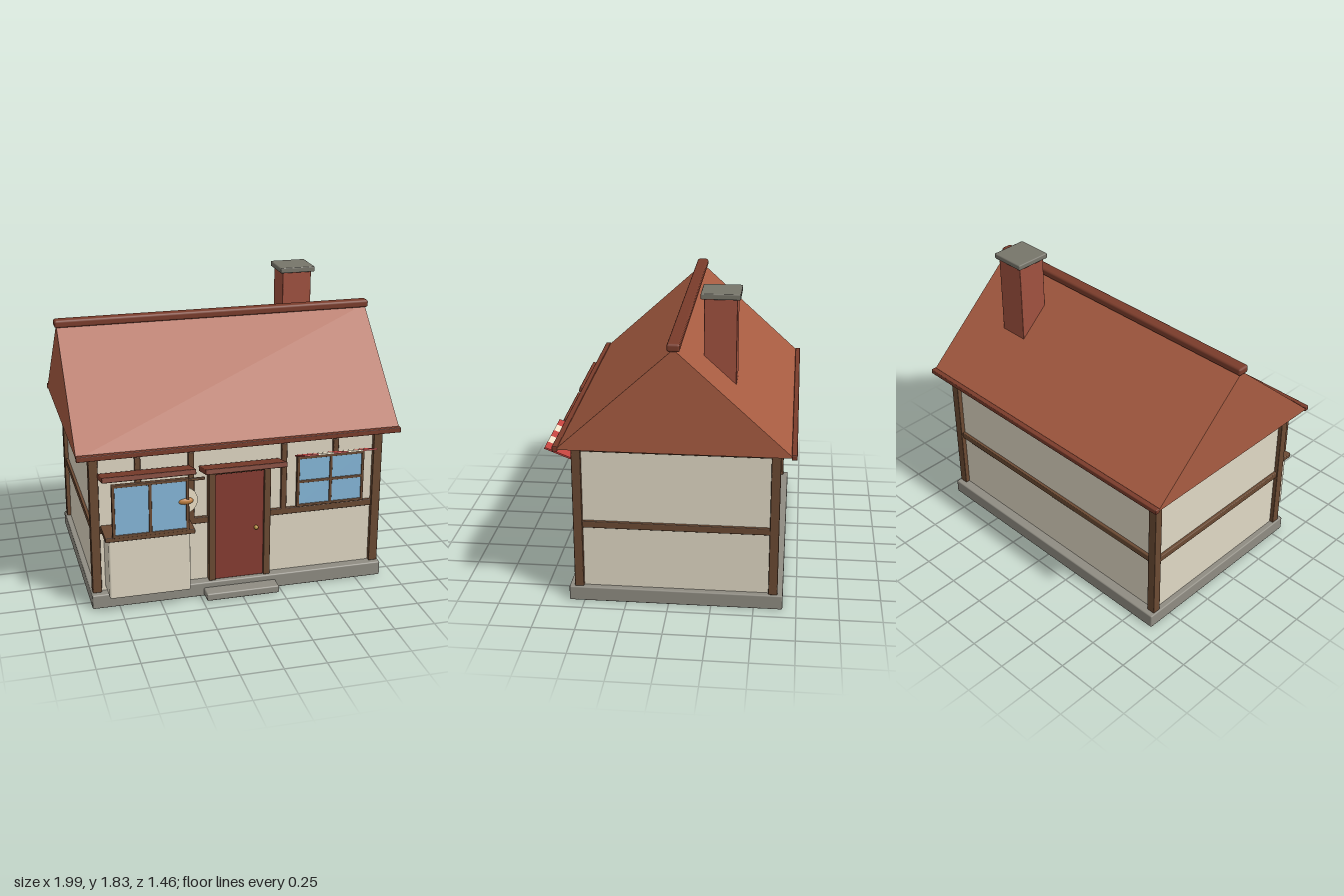
import * as THREE from 'three';
import { RoundedBoxGeometry } from 'three/addons/geometries/RoundedBoxGeometry.js';

const mat = (color) => new THREE.MeshStandardMaterial({ color });
const M = {
  stone: mat(0x8f8c82), plaster: mat(0xe0d8c4), wood: mat(0x6b4a33), roof: mat(0xa85c42),
  trim: mat(0x7a3c2b), brick: mat(0xa0513f), cap: mat(0x77756a), door: mat(0x863c32),
  glass: mat(0x86b8da), red: mat(0xc4443f), cream: mat(0xeee2c8), brass: mat(0xb08a3c), bread: mat(0xc08040),
};
const ZC = -0.04; // depth centre of the house body

export function createModel() {
  const house = new THREE.Group();
  house.name = 'cottageShop';

  const add = (name, geometry, material, parent = house) => {
    const mesh = new THREE.Mesh(geometry, material);
    mesh.name = name;
    parent.add(mesh);
    return mesh;
  };
  // Softly bevelled box given by its extents
  const box = (name, material, x0, x1, y0, y1, z0, z1, parent = house, bevel = 0.005) => {
    const s = [x1 - x0, y1 - y0, z1 - z0];
    const m = add(name, new RoundedBoxGeometry(...s, 1, Math.min(bevel, Math.min(...s) * 0.3)), material, parent);
    m.position.set((x0 + x1) / 2, (y0 + y1) / 2, (z0 + z1) / 2);
    return m;
  };
  const group = (name) => {
    const g = new THREE.Group();
    g.name = name;
    house.add(g);
    return g;
  };

  // Base and walls
  box('foundation', M.stone, -0.915, 0.915, 0, 0.09, -0.67, 0.59, house, 0.008);
  box('doorStep', M.stone, -0.23, 0.225, 0.008, 0.055, 0.5, 0.677, house, 0.008);
  box('walls', M.plaster, -0.88, 0.88, 0.08, 0.99, -0.61, 0.53);

  // Timber frame
  const frame = group('timberFrame');
  for (const x of [-0.878, 0.878]) {
    for (const z of [-0.612, 0.53])
      box('cornerPost', M.wood, x - 0.028, x + 0.028, 0.09, 0.97, z - 0.027, z + 0.027, frame);
  }
  for (const [y0, y1] of [[0.47, 0.512], [0.948, 0.99]]) {
    for (const z of [-0.61, 0.53]) box('longBeam', M.wood, -0.88, 0.88, y0, y1, z - 0.018, z + 0.018, frame);
    for (const x of [-0.88, 0.88]) box('sideBeam', M.wood, x - 0.018, x + 0.018, y0, y1, -0.61, 0.53, frame);
  }
  for (const x of [-0.615, -0.293, 0.283, 0.61])
    box('frontStud', M.wood, x - 0.018, x + 0.018, 0.5, 0.935, 0.52, 0.548, frame);

  // Roof: solid gable with eave boards and a ridge beam
  const gable = new THREE.Shape([[-0.67, 0.99], [0.67, 0.99], [0, 1.6]].map(([z, y]) => new THREE.Vector2(z, y)));
  const roofGeo = new THREE.ExtrudeGeometry(gable, { depth: 1.966, bevelEnabled: false });
  roofGeo.translate(0, 0, -0.983).rotateY(-Math.PI / 2);
  add('roof', roofGeo, M.roof).position.z = ZC;
  for (const z of [-0.712, 0.632])
    box('eaveBoard', M.trim, -0.985, 0.985, 0.978, 1.01, z - 0.016, z + 0.016);
  box('ridgeBeam', M.trim, -0.997, 0.997, 1.587, 1.634, ZC - 0.037, ZC + 0.037, house, 0.014);

  // Chimney
  box('chimney', M.brick, 0.48, 0.668, 1.1, 1.81, -0.368, -0.18);
  box('chimneyCap', M.cap, 0.461, 0.687, 1.8, 1.834, -0.387, -0.161, house, 0.007);

  // Door with frame, knob and canopy
  const door = group('door');
  box('doorPanel', M.door, -0.152, 0.152, 0.09, 0.79, 0.52, 0.562, door);
  for (const x of [-0.172, 0.172]) box('doorJamb', M.wood, x - 0.021, x + 0.021, 0.09, 0.83, 0.52, 0.575, door);
  box('doorLintel', M.wood, -0.193, 0.193, 0.788, 0.832, 0.52, 0.575, door);
  add('doorKnob', new THREE.SphereGeometry(0.014, 16, 10), M.brass, door).position.set(0.103, 0.415, 0.57);

  // Sloping canopies over shop front and door
  for (const [name, x0, x1, y] of [['shopCanopy', -0.855, -0.305, 0.866], ['doorCanopy', -0.25, 0.245, 0.855]])
    box(name, M.trim, x0, x1, y - 0.016, y + 0.016, 0.55, 0.73).rotation.x = -0.25;

  // Window: one pane, outer frame and glazing bars
  const makeWindow = (name, x0, x1, y0, y1, z, t, barX, barY) => {
    const g = group(name);
    box('glass', M.glass, x0, x1, y0, y1, z - 0.01, z + 0.006, g, 0.002);
    const bar = (a, b, c, d) => box('windowBar', M.wood, a, b, c, d, z - 0.012, z + 0.012, g, 0.003);
    for (const x of [x0, ...barX, x1]) bar(x - t / 2, x + t / 2, y0, y1);
    for (const y of [y0, ...barY, y1]) bar(x0 - t / 2, x1 + t / 2, y - t / 2, y + t / 2);
  };
  makeWindow('rightWindow', 0.366, 0.778, 0.53, 0.842, 0.56, 0.017, [0.573], [0.686]);
  makeWindow('shopWindow', -0.793, -0.356, 0.525, 0.84, 0.709, 0.018, [-0.577], []);

  // Shop counter
  box('counterBase', M.plaster, -0.825, -0.335, 0.11, 0.492, 0.52, 0.695, house, 0.012);
  box('counterTop', M.wood, -0.845, -0.31, 0.49, 0.52, 0.53, 0.715);

  // Striped awning over the right window
  const awning = group('awning');
  for (let i = 0; i < 5; i++) {
    const stripe = add('awningStripe', new THREE.BoxGeometry(0.0912, 0.01, 0.188), i % 2 ? M.cream : M.red, awning);
    stripe.position.x = (i - 2) * 0.0912;
  }
  awning.position.set(0.573, 0.888, 0.643);
  awning.rotation.x = -0.37;

  // Hanging round sign with a loaf
  const sign = group('hangingSign');
  box('signBracket', M.wood, -0.365, -0.232, 0.793, 0.809, 0.622, 0.638, sign, 0.003);
  const disc = add('signDisc', new THREE.CylinderGeometry(0.083, 0.083, 0.015, 32), M.cream, sign);
  disc.rotation.x = Math.PI / 2;
  disc.position.set(-0.375, 0.702, 0.695);
  const loaf = add('signLoaf', new THREE.SphereGeometry(1, 20, 12), M.bread, sign);
  loaf.scale.set(0.048, 0.022, 0.02);
  loaf.position.set(-0.367, 0.702, 0.706);

  return house;
}
